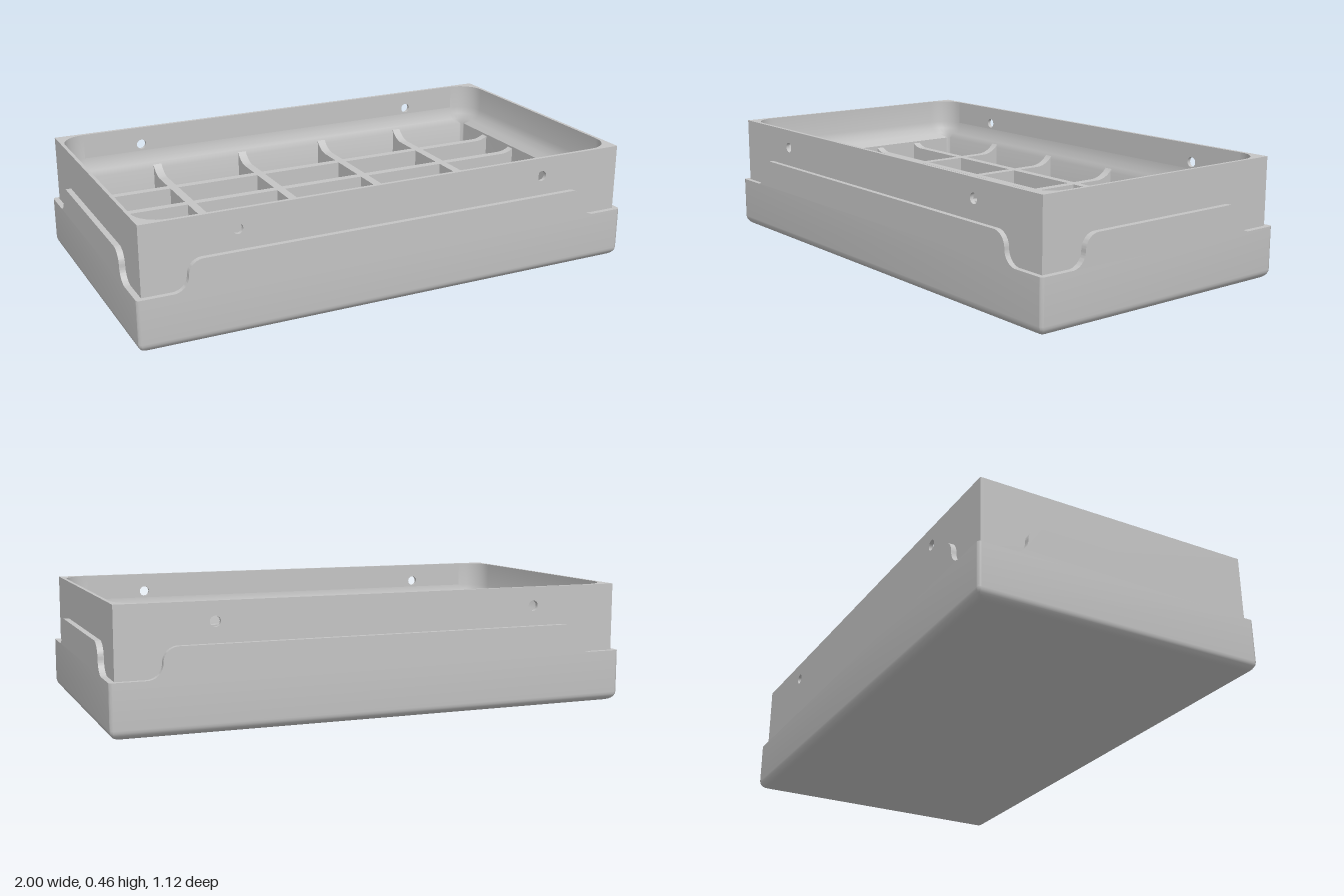
import * as THREE from 'three';
import { toCreasedNormals } from 'three/addons/utils/BufferGeometryUtils.js';

const K = 8; // segments per rounded corner

// Rounded rectangle outline in x/z
function outline(hx, hz, r) {
  const pts = [];
  [[1, 1], [-1, 1], [-1, -1], [1, -1]].forEach(([sx, sz], q) => {
    for (let i = 0; i <= K; i++) {
      const t = (q + i / K) * Math.PI / 2;
      pts.push([sx * (hx - r) + r * Math.cos(t), sz * (hz - r) + r * Math.sin(t)]);
    }
  });
  return pts;
}

// Skin between rings [hx, hz, r, y] listed from bottom to top
function loft(rings, inward, skip = () => false) {
  const pos = [];
  const loops = rings.map(([hx, hz, r, y]) => outline(hx, hz, r).map(([x, z]) => [x, y, z]));
  for (let i = 0; i < loops.length - 1; i++) {
    const n = loops[i].length;
    for (let j = 0; j < n; j++) {
      if (skip(i, j)) continue;
      const a = loops[i][j], b = loops[i][(j + 1) % n];
      const c = loops[i + 1][j], d = loops[i + 1][(j + 1) % n];
      pos.push(...(inward ? [a, b, c, b, d, c] : [a, c, b, b, c, d]).flat());
    }
  }
  const g = new THREE.BufferGeometry();
  g.setAttribute('position', new THREE.Float32BufferAttribute(pos, 3));
  return toCreasedNormals(g, 0.6);
}

const poly = pts => new THREE.Shape(pts.map(p => new THREE.Vector2(...p)));
const rect = (hx, hz) => poly([[-hx, -hz], [hx, -hz], [hx, hz], [-hx, hz]]);
const flat = (shape, y, up = true) =>
  new THREE.ShapeGeometry(shape).rotateX(up ? -Math.PI / 2 : Math.PI / 2).translate(0, y, 0);
const extrude = (shape, depth) => toCreasedNormals(
  new THREE.ExtrudeGeometry(shape, { depth, bevelEnabled: false, curveSegments: 10 }), 0.6);

export function createModel() {
  const group = new THREE.Group();
  const grey = new THREE.MeshStandardMaterial({ color: 0xc4c4c4 });
  grey.name = 'grey plastic';
  const add = (name, geo) => {
    const m = new THREE.Mesh(geo, grey);
    m.name = name;
    group.add(m);
  };

  const BX = 0.978, BZ = 0.54, TOP = 0.459, LEDGE = 0.199, FLOOR = 0.05;
  const OX = 0.965, OZ = 0.525;          // opening half sizes
  const GRID = 0.26, SCOOP = 0.1;        // divider top and scoop radius

  // Outer base with rounded bottom edges
  const R = 0.035, baseRings = [];
  for (let i = 0; i <= 6; i++) {
    const t = i / 6 * Math.PI / 2, s = R * (1 - Math.sin(t));
    baseRings.push([1 - s, 0.56 - s, 0.012, R * (1 - Math.cos(t))]);
  }
  baseRings.push([1, 0.56, 0.012, LEDGE]);
  add('base', loft(baseRings, false));
  add('baseUnderside', flat(poly(outline(1 - R, 0.56 - R, 0.012)), 0, false));
  const ledge = poly(outline(1, 0.56, 0.012));
  ledge.holes.push(rect(0.97, 0.535));
  add('ledge', flat(ledge, LEDGE));

  // Raised skirt with S-curved ends on each side
  const skirt = (half, depth) => {
    const h = (0.311 - LEDGE) / 2, a = half - 2 * h, s = new THREE.Shape();
    s.moveTo(-half, LEDGE);
    s.lineTo(half, LEDGE);
    s.absarc(half, LEDGE + h, h, -Math.PI / 2, -Math.PI, true);
    s.absarc(a, LEDGE + h, h, 0, Math.PI / 2, false);
    s.absarc(-a, LEDGE + h, h, Math.PI / 2, Math.PI, false);
    s.absarc(-half, LEDGE + h, h, 0, -Math.PI / 2, true);
    return extrude(s, depth);
  };

  // Upper body walls; front and back have two round holes right through
  const wallShape = half => poly([[-half, LEDGE], [half, LEDGE], [half, TOP], [-half, TOP]]);
  const drilledWall = wallShape(BX);
  for (const x of [-0.625, 0.625]) {
    const ring = [];
    for (let i = 0; i < 16; i++) {
      const t = -i / 16 * Math.PI * 2;
      ring.push(new THREE.Vector2(x + 0.02 * Math.cos(t), 0.387 + 0.02 * Math.sin(t)));
    }
    drilledWall.holes.push(new THREE.Path(ring));
  }
  for (const [long, short, turn] of [['front', 'left', 0], ['back', 'right', Math.PI]]) {
    add(long + 'Skirt', skirt(0.87, 0.02).translate(0, 0, BZ).rotateY(turn));
    add(short + 'Skirt', skirt(0.43, 0.022).translate(0, 0, BX).rotateY(turn + Math.PI / 2));
    add(long + 'Wall', extrude(drilledWall, BZ - OZ).translate(0, 0, OZ).rotateY(turn));
    add(short + 'Wall', new THREE.ShapeGeometry(wallShape(BZ))
      .translate(0, 0, BX).rotateY(turn + Math.PI / 2));
  }

  // Top rim around the rounded opening
  const rim = rect(BX, BZ);
  rim.holes.push(poly(outline(OX, OZ, 0.1)));
  add('rim', flat(rim, TOP));

  // Bowl lining: upright cell walls, a scoop, then upright sides;
  // the top band leaves the drilled walls bare
  const bowl = [
    [0.92, 0.5, 0.015, FLOOR], [0.92, 0.5, 0.015, 0.285],
    [0.941, 0.511, 0.071, 0.307], [0.957, 0.521, 0.092, 0.33],
    [OX, OZ, 0.1, GRID + SCOOP], [OX, OZ, 0.1, TOP],
  ];
  add('bowl', loft(bowl, true, (i, j) => i === 4 && (j === K || j === 3 * K + 2)));
  add('floor', flat(rect(0.925, 0.505), FLOOR));

  // Dividers whose tops sweep up into the bowl sides
  const divider = (opening, cell, width) => {
    const c = opening - SCOOP, a = Math.acos((cell - c) / SCOOP), s = new THREE.Shape();
    s.moveTo(-cell, FLOOR);
    s.lineTo(cell, FLOOR);
    s.absarc(c, GRID + SCOOP, SCOOP, -a, -Math.PI / 2, true);
    s.absarc(-c, GRID + SCOOP, SCOOP, -Math.PI / 2, a - Math.PI, true);
    return extrude(s, width).translate(0, 0, -width / 2);
  };
  for (const x of [-0.568, -0.189, 0.189, 0.568]) {
    add('crossDivider', divider(OZ, 0.504, 0.035).rotateY(Math.PI / 2).translate(x, 0, 0));
  }
  for (const z of [-0.31, -0.103, 0.103, 0.31]) {
    add('longDivider', divider(OX, 0.925, 0.033).translate(0, 0, z));
  }
  return group;
}
